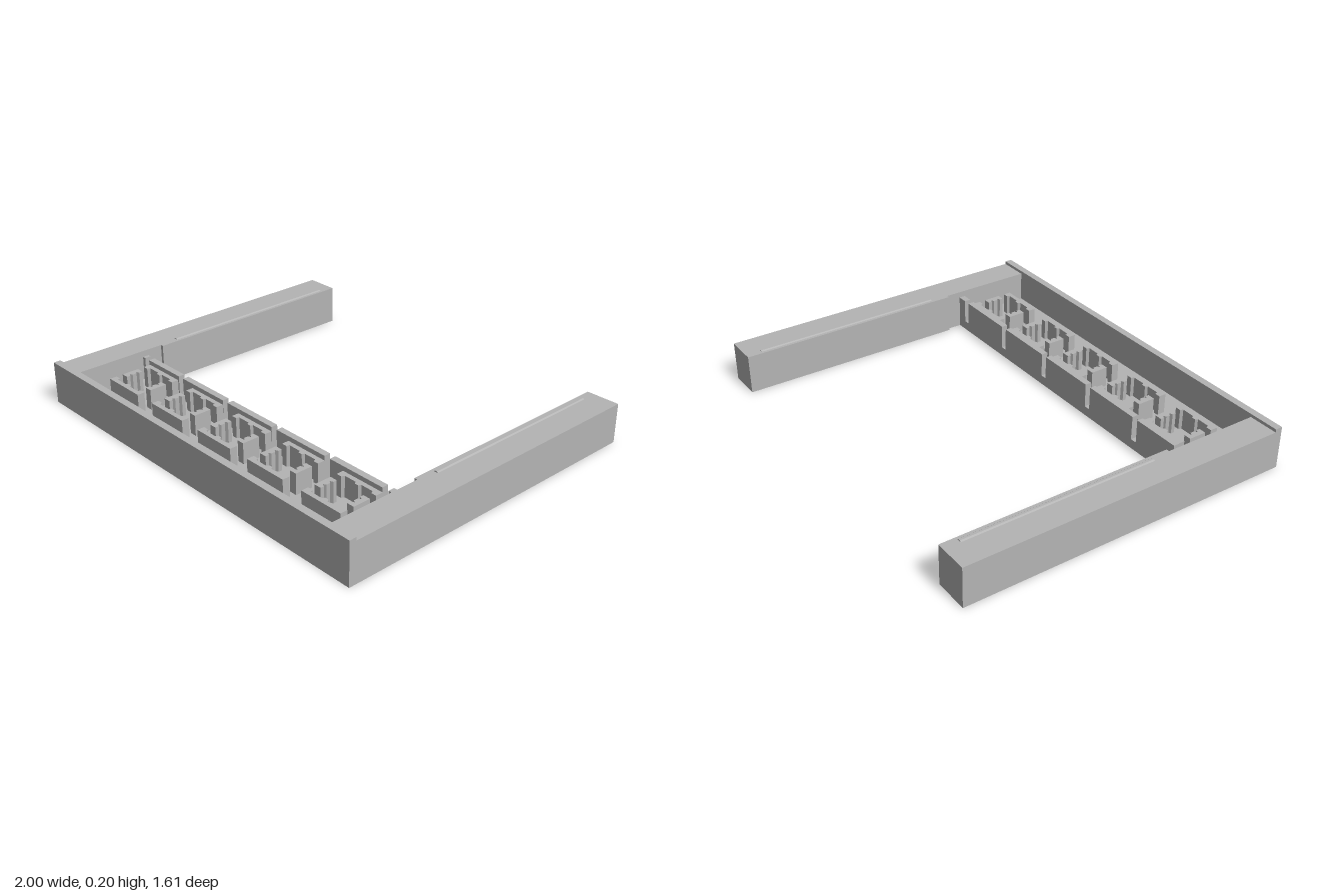
import * as THREE from 'three';

const grey = new THREE.MeshStandardMaterial({ color: 0xb4b4b4 });
grey.name = 'plain grey';

// Vertical prism from a plan outline of [x, z] points
function prism(name, plan, y0, y1) {
  const shape = new THREE.Shape(plan.map(([x, z]) => new THREE.Vector2(x, -z)));
  const geo = new THREE.ExtrudeGeometry(shape, { depth: y1 - y0, bevelEnabled: false });
  geo.rotateX(-Math.PI / 2).translate(0, y0, 0);
  const mesh = new THREE.Mesh(geo, grey);
  mesh.name = name;
  return mesh;
}

function block(name, x0, x1, y0, y1, z0, z1) {
  return prism(name, [[x0, z0], [x1, z0], [x1, z1], [x0, z1]], y0, y1);
}

// Bracket bar: outer edge at z = r, thick ends and a small bump facing inwards
function bracketBar(half, foot, r) {
  const end = r - 0.036, web = r - 0.022, bump = r - 0.034;
  return prism('bracketBar', [
    [-half, r], [half, r], [half, end], [half - foot, end], [half - foot - 0.006, web],
    [0.016, web], [0.01, bump], [-0.01, bump], [-0.016, web],
    [-half + foot + 0.006, web], [-half + foot, end], [-half, end],
  ], FLOOR, 0.145);
}

const FLOOR = 0.045, WALL_TOP = 0.16;
const BACK = 0.38, FRONT = 0.77, EDGE = 0.805;

export function createModel() {
  const model = new THREE.Group();
  model.name = 'trayFrame';

  // Front panel with its raised lip, and the tray floor
  model.add(block('frontPanel', -1, 1, 0, 0.205, FRONT, EDGE));
  model.add(block('trayFloor', -0.855, 0.855, 0, FLOOR, BACK, FRONT));

  // Side arms, stepped on the inside, each with a low rail on top
  for (const s of [-1, 1]) {
    const side = s > 0 ? 'left' : 'right';
    const plan = [[1, -EDGE], [0.838, -EDGE], [0.838, 0.305], [0.853, 0.305], [0.853, FRONT], [1, FRONT]];
    model.add(prism(side + 'Arm', plan.map(([x, z]) => [s * x, z]), 0, 0.19));

    const section = new THREE.Shape([
      new THREE.Vector2(-0.012, 0), new THREE.Vector2(0.012, 0),
      new THREE.Vector2(0.005, 0.006), new THREE.Vector2(-0.005, 0.006),
    ]);
    const rail = new THREE.Mesh(new THREE.ExtrudeGeometry(section, { depth: 0.94, bevelEnabled: false }), grey);
    rail.position.set(s * 0.863, 0.189, -0.73);
    rail.name = side + 'ArmRail';
    model.add(rail);
  }

  // Back wall of the tray, cut by cable slots
  const slots = [-0.819, -0.549, -0.219, 0.117, 0.451, 0.786];
  let start = -0.855;
  for (const x of [...slots, null]) {
    const stop = x === null ? 0.855 : x - 0.016;
    model.add(block('backWall', start, stop, FLOOR, WALL_TOP, BACK, 0.411));
    start = x + 0.016;
  }

  // Five square holders, each made of two long and two short bars
  for (let i = 0; i < 5; i++) {
    const holder = new THREE.Group();
    holder.name = 'holder';
    for (let q = 0; q < 4; q++) {
      const bar = q % 2 ? bracketBar(0.043, 0.018, 0.112) : bracketBar(0.112, 0.027, 0.112);
      bar.rotation.y = q * Math.PI / 2;
      holder.add(bar);
    }
    holder.position.set(-0.673 + i * 0.335, 0, 0.531);
    model.add(holder);
  }
  return model;
}
